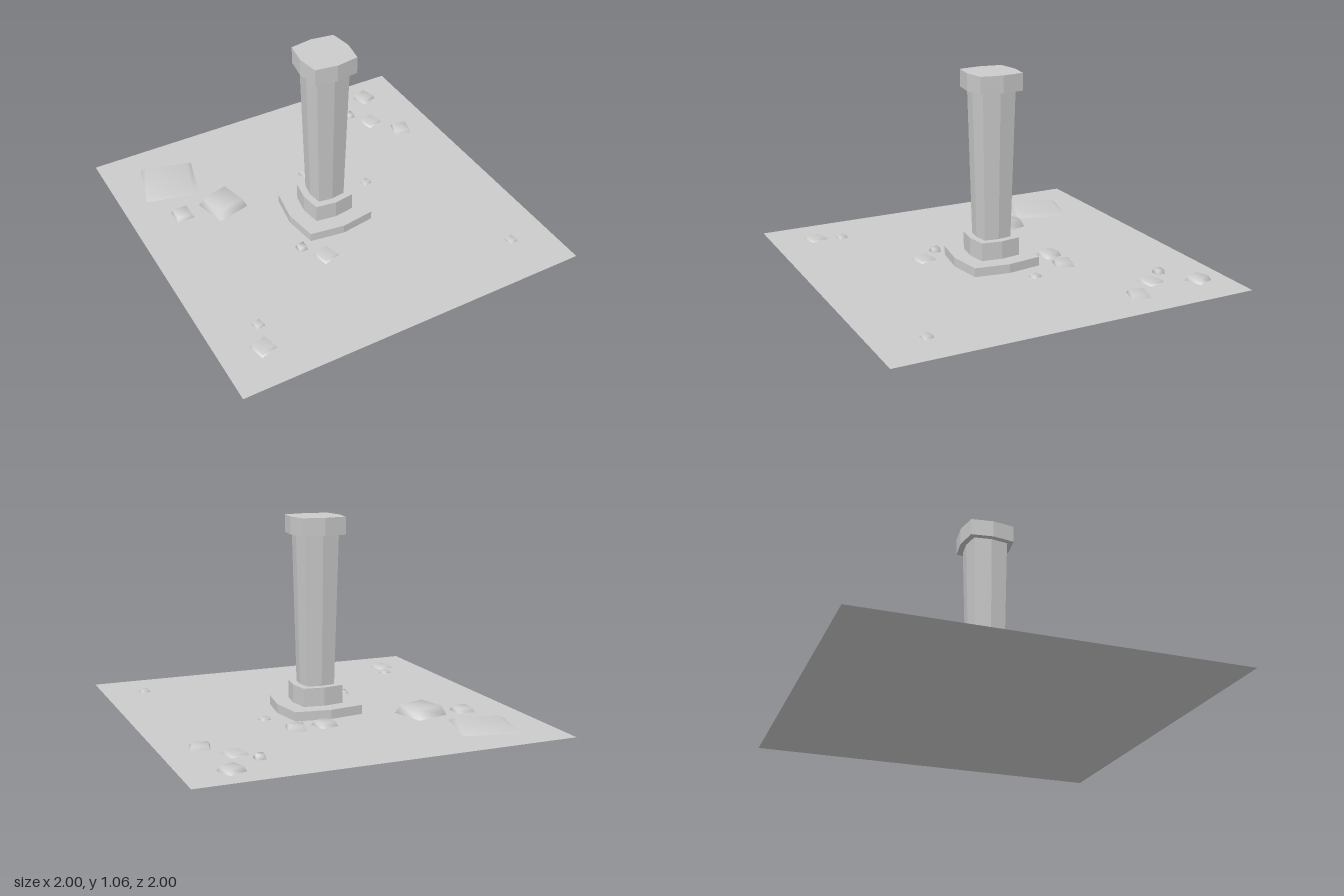
import * as THREE from 'three';

const material = new THREE.MeshStandardMaterial({ color: 0xcccccc, side: THREE.DoubleSide });
const flatMaterial = new THREE.MeshStandardMaterial({ color: 0xcccccc, flatShading: true });

// Square block with slightly bowed sides: corners pulled in, side middles at full radius
function bowedBlock(name, bottomRadius, topRadius, y0, y1) {
  const geometry = new THREE.CylinderGeometry(topRadius, bottomRadius, y1 - y0, 8);
  const pos = geometry.attributes.position;
  for (let i = 0; i < pos.count; i++) {
    const x = pos.getX(i), z = pos.getZ(i);
    if (Math.abs(x) > 0.01 && Math.abs(z) > 0.01) {
      pos.setX(i, x * 0.87 * Math.SQRT2);
      pos.setZ(i, z * 0.87 * Math.SQRT2);
    }
  }
  geometry.computeVertexNormals();
  const mesh = new THREE.Mesh(geometry, flatMaterial);
  mesh.name = name;
  mesh.position.y = (y0 + y1) / 2;
  return mesh;
}

// Unit stone: soft-shaded square frustum, open below
function stoneGeometry() {
  const points = [], index = [4, 7, 6, 4, 6, 5];
  for (const [half, y] of [[0.5, 0], [0.4, 1]]) {
    for (const [sx, sz] of [[-1, -1], [1, -1], [1, 1], [-1, 1]]) points.push(sx * half, y, sz * half);
  }
  for (let i = 0; i < 4; i++) {
    const j = (i + 1) % 4;
    index.push(i, i + 4, j + 4, i, j + 4, j);
  }
  const geometry = new THREE.BufferGeometry();
  geometry.setAttribute('position', new THREE.Float32BufferAttribute(points, 3));
  geometry.setIndex(index);
  return geometry;
}

export function createModel() {
  const model = new THREE.Group();
  model.name = 'columnOnGround';

  const ground = new THREE.Mesh(new THREE.PlaneGeometry(2, 2).rotateX(-Math.PI / 2), material);
  ground.name = 'ground';
  model.add(ground);

  // Column tiers, from the ground up
  model.add(
    bowedBlock('plinth', 0.222, 0.222, 0, 0.05),
    bowedBlock('columnBase', 0.13, 0.13, 0.05, 0.15),
    bowedBlock('shaft', 0.09, 0.11, 0.15, 0.965),
    bowedBlock('capital', 0.142, 0.142, 0.965, 1.06),
  );

  // Scattered stones: x, z, side, height, turn
  const stones = [
    [-0.67, -0.66, 0.3, 0.022, -0.26],
    [-0.485, -0.315, 0.195, 0.05, 0.26],
    [-0.72, -0.35, 0.1, 0.025, 0],
    [0.08, -0.32, 0.1, 0.025, 0.22],
    [0.24, -0.32, 0.1, 0.025, -0.26],
    [0.33, -0.095, 0.05, 0.014, 0.26],
    [0.76, -0.835, 0.1, 0.025, 0.35],
    [0.58, -0.71, 0.05, 0.025, 0],
    [0.665, -0.6, 0.1, 0.014, 0.26],
    [0.79, -0.44, 0.1, 0.02, -0.28],
    [-0.265, 0.22, 0.05, 0.025, 0],
    [-0.175, 0.33, 0.1, 0.014, 0.26],
    [-0.725, 0.61, 0.05, 0.014, 0.2],
    [-0.77, 0.755, 0.1, 0.014, 0.26],
    [0.77, 0.725, 0.05, 0.014, 0.2],
  ];
  const group = new THREE.Group();
  group.name = 'stones';
  for (const [x, z, side, height, turn] of stones) {
    const geometry = stoneGeometry().scale(side, height, side);
    geometry.computeVertexNormals();
    const stone = new THREE.Mesh(geometry, material);
    stone.name = 'stone';
    stone.position.set(x, 0, z);
    stone.rotation.y = turn;
    group.add(stone);
  }
  model.add(group);
  return model;
}
